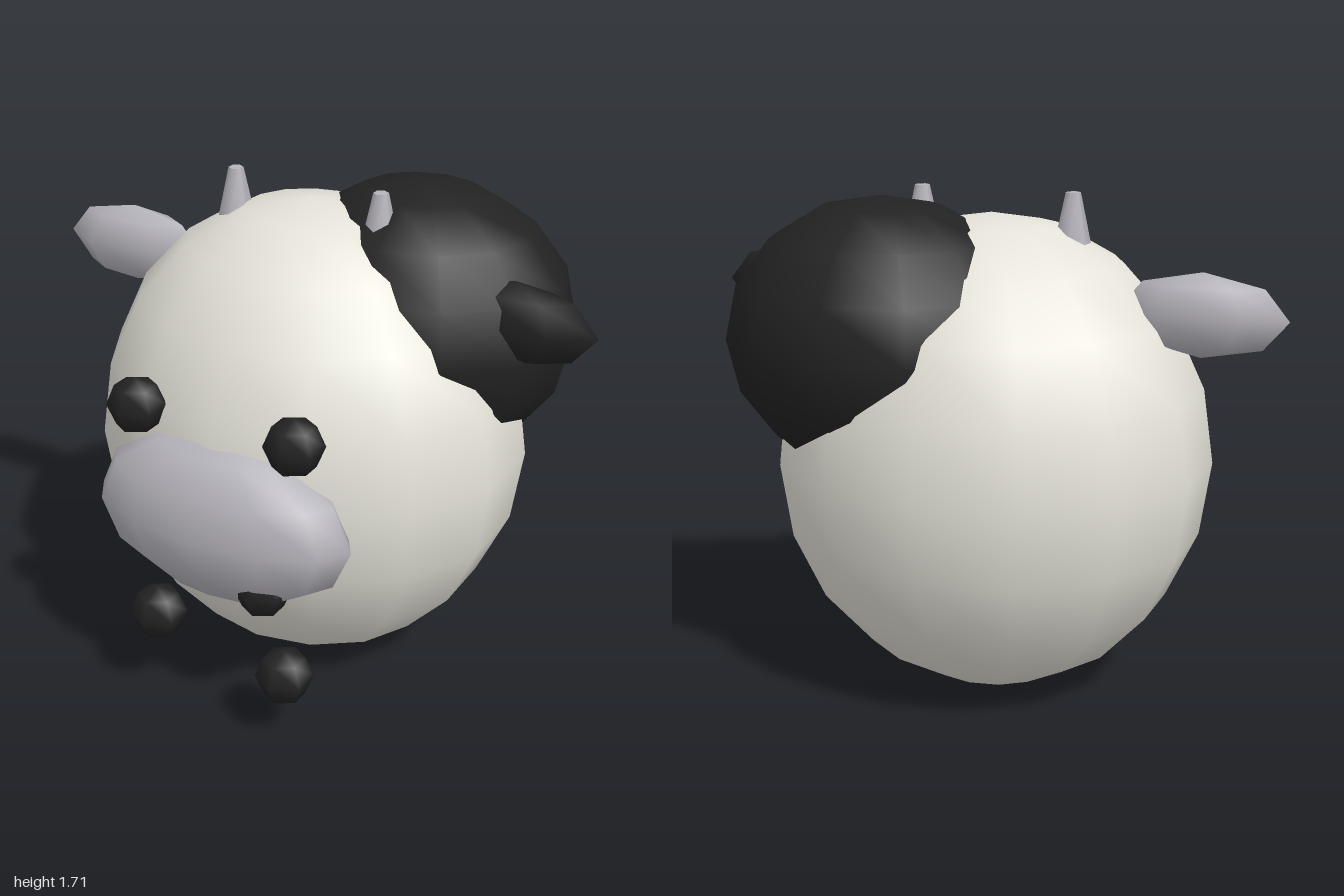
import * as THREE from 'three';

export function createModel() {
  const model = new THREE.Group();
  model.name = 'roundCow';
  const white = new THREE.MeshStandardMaterial({ name: 'cream hide', color: 0xe4e2d8 });
  const black = new THREE.MeshStandardMaterial({ name: 'black hide', color: 0x222222 });
  const grey = new THREE.MeshStandardMaterial({ name: 'soft grey', color: 0xb7b5bc });

  // Low-sided smooth ellipsoid with vertical poles; start turns its corners
  function blob(name, material, centre, radii, sides, rings, start = Math.PI / 2) {
    const mesh = new THREE.Mesh(new THREE.SphereGeometry(1, sides, rings, start), material);
    mesh.name = name;
    mesh.position.set(...centre);
    mesh.scale.set(...radii);
    model.add(mesh);
    return mesh;
  }

  // Body, the large dark patch and the muzzle
  blob('body', white, [0, 0.82, -0.06], [0.754, 0.818, 0.667], 14, 10);
  blob('headPatch', black, [0.31, 1.23, -0.24], [0.54, 0.47, 0.465], 12, 8);
  blob('muzzle', grey, [0, 0.74, 0.53], [0.47, 0.285, 0.195], 12, 6);

  // Eyes, front feet and the spot on the muzzle share one small ball
  const r = 0.097;
  const balls = [
    ['rightEye', -0.29, 1.085, 0.567],
    ['leftEye', 0.29, 1.085, 0.567],
    ['rightFoot', -0.225, 0.337, 0.592],
    ['leftFoot', 0.265, 0.248, 0.592],
    ['muzzleSpot', 0.187, 0.562, 0.592],
  ];
  for (const [name, x, y, z] of balls) blob(name, black, [x, y, z], [r, r, r], 6, 4);

  // Ears and horns, one pair on each side
  for (const side of [-1, 1]) {
    const label = side > 0 ? 'left' : 'right';
    blob(label + 'Ear', side > 0 ? black : grey, [side * 0.72, 1.35, -0.063], [0.28, 0.138, 0.097], 6, 4, 0);

    const horn = new THREE.Mesh(new THREE.CylinderGeometry(0.025, 0.07, 0.21, 6), grey);
    horn.name = label + 'Horn';
    horn.position.set(side * 0.268, 1.605, -0.018);
    model.add(horn);
  }
  return model;
}
